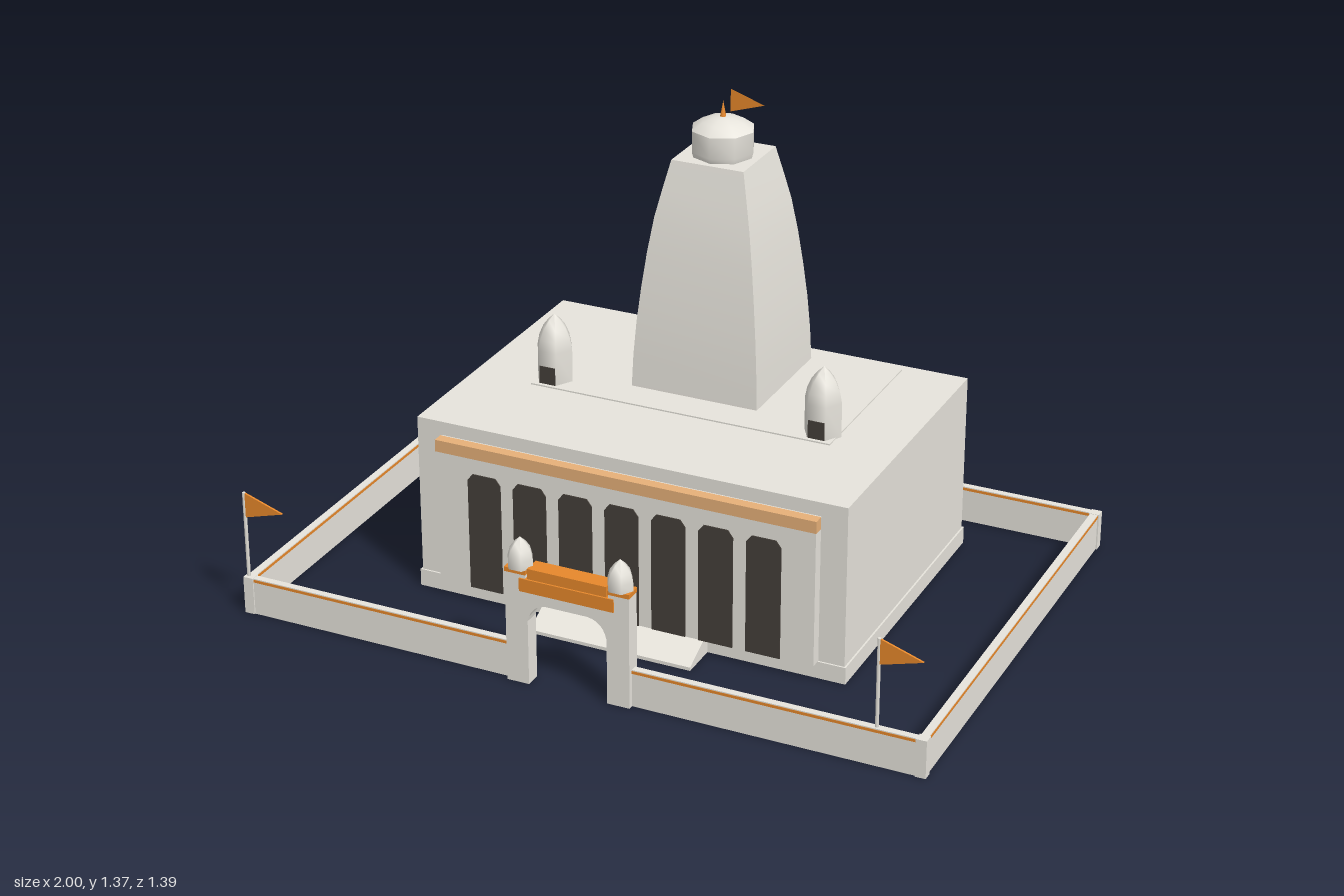
import * as THREE from 'three';
import { toCreasedNormals } from 'three/addons/utils/BufferGeometryUtils.js';

const mat = (name, color, side = THREE.FrontSide) => {
  const m = new THREE.MeshStandardMaterial({ color, side });
  m.name = name;
  return m;
};

export function createModel() {
  const root = new THREE.Group();
  root.name = 'temple';
  const marble = mat('marble', 0xe9e6de);
  const saffron = mat('saffron', 0xea8a2c, THREE.DoubleSide);
  const paleSaffron = mat('paleSaffron', 0xe9b27a);
  const dark = mat('darkOpening', 0x453f39);

  const add = (name, geo, material, x = 0, y = 0, z = 0) => {
    const m = new THREE.Mesh(geo, material);
    m.name = name;
    m.position.set(x, y, z);
    root.add(m);
    return m;
  };
  // Box given by its limits on each axis
  const box = (name, material, x0, x1, y0, y1, z0, z1) =>
    add(name, new THREE.BoxGeometry(x1 - x0, y1 - y0, z1 - z0), material,
      (x0 + x1) / 2, (y0 + y1) / 2, (z0 + z1) / 2);
  const lathe = (pts, sides, phi, crease) => toCreasedNormals(
    new THREE.LatheGeometry(pts.map(([r, y]) => new THREE.Vector2(r, y)), sides, phi), crease);
  const polygon = (pts) => new THREE.Shape(pts.map(([x, y]) => new THREE.Vector2(x, y)));

  // Hall, plinth, roof plate and facade
  box('plinth', marble, -0.64, 0.64, 0, 0.05, -0.55, 0.33);
  box('hall', marble, -0.635, 0.635, 0.05, 0.52, -0.545, 0.325);
  box('roofPlate', marble, -0.45, 0.45, 0.52, 0.524, -0.515, 0.01);
  box('facade', marble, -0.56, 0.56, 0.05, 0.48, 0.325, 0.358);
  box('facadeBand', paleSaffron, -0.562, 0.562, 0.446, 0.481, 0.33, 0.361);

  // Row of seven openings with clipped tops
  const opening = new THREE.ExtrudeGeometry(polygon([
    [-0.05, 0], [0.05, 0], [0.05, 0.33], [0.035, 0.35], [-0.035, 0.35], [-0.05, 0.33],
  ]), { depth: 0.004, bevelEnabled: false });
  for (let i = -3; i <= 3; i++) add('facadeOpening', opening, dark, i * 0.138, 0.05, 0.357);

  // Entrance ramp
  const ramp = new THREE.ExtrudeGeometry(
    polygon([[0.33, 0], [0.44, 0], [0.44, 0.01], [0.358, 0.048], [0.33, 0.048]]),
    { depth: 0.48, bevelEnabled: false });
  ramp.rotateY(-Math.PI / 2);
  add('ramp', ramp, marble, 0.24);

  // Curved square tower
  const S = Math.SQRT2;
  const tower = [[0.19, 0.52], [0.186, 0.62], [0.179, 0.72], [0.169, 0.82], [0.157, 0.92],
    [0.142, 1.02], [0.125, 1.1], [0.107, 1.18], [0, 1.18]].map(([r, y]) => [r * S, y]);
  add('tower', lathe(tower, 4, Math.PI / 4, 0.5), marble, 0, 0, -0.285);
  add('towerCrown', lathe([[0.086, 1.18], [0.09, 1.195], [0.09, 1.255], [0.06, 1.276],
    [0.03, 1.286], [0, 1.29]], 8, 0, 0.9), marble, 0, 0, -0.28);
  add('finial', new THREE.ConeGeometry(0.01, 0.05, 8), saffron, 0, 1.308, -0.28);

  // Roof kiosks with dark doorways front and back
  const kiosk = lathe([[0.054, 0], [0.054, 0.1], [0.048, 0.13], [0.035, 0.16], [0.018, 0.183],
    [0, 0.2]], 6, Math.PI / 2, 1.1);
  for (const s of [-1, 1]) {
    add('kiosk', kiosk, marble, s * 0.405, 0.52, -0.05);
    for (const f of [-1, 1])
      add('kioskDoor', new THREE.BoxGeometry(0.048, 0.052, 0.006), dark,
        s * 0.405, 0.55, -0.05 + f * 0.046);
  }

  // Boundary wall: body, coloured band and coping
  const wall = (x0, x1, z0, z1) => {
    box('boundaryWall', marble, x0, x1, 0, 0.098, z0, z1);
    box('wallBand', saffron, x0 - 0.001, x1 + 0.001, 0.098, 0.106, z0 - 0.001, z1 + 0.001);
    box('wallCoping', marble, x0, x1, 0.106, 0.109, z0, z1);
  };
  wall(-0.975, 0.975, -0.698, -0.678);
  for (const s of [-1, 1]) {
    wall(Math.min(s * 0.975, s * 0.18), Math.max(s * 0.975, s * 0.18), 0.648, 0.668);
    wall(s * 0.985 - 0.011, s * 0.985 + 0.011, -0.68, 0.65);
    for (const z of [-0.686, 0.658])
      box('cornerPost', marble, s * 0.985 - 0.015, s * 0.985 + 0.015, 0, 0.11, z - 0.014, z + 0.014);
  }

  // Arched gate with raised side pillars
  const gate = polygon([[0.115, 0], [0.18, 0], [0.18, 0.325], [0.12, 0.325], [0.12, 0.28],
    [-0.12, 0.28], [-0.12, 0.325], [-0.18, 0.325], [-0.18, 0], [-0.115, 0], [-0.115, 0.19]]);
  gate.quadraticCurveTo(-0.105, 0.24, -0.06, 0.245);
  gate.lineTo(0.06, 0.245);
  gate.quadraticCurveTo(0.105, 0.24, 0.115, 0.19);
  add('gate', new THREE.ExtrudeGeometry(gate, { depth: 0.046, bevelEnabled: false, curveSegments: 6 }),
    marble, 0, 0, 0.637);
  box('gateLowerBeam', saffron, -0.137, 0.137, 0.277, 0.315, 0.634, 0.687);
  box('gateUpperBeam', saffron, -0.115, 0.115, 0.315, 0.345, 0.632, 0.682);
  const dome = lathe([[0, 0], [0.037, 0], [0.037, 0.025], [0.03, 0.05], [0.016, 0.07], [0, 0.085]],
    6, Math.PI / 2, 1.1);
  for (const s of [-1, 1]) {
    box('pillarCollar', saffron, s * 0.15 - 0.031, s * 0.15 + 0.031, 0.325, 0.338, 0.636, 0.684);
    add('gateDome', dome, marble, s * 0.145, 0.338, 0.66);
  }

  // Pennants
  const pennant = new THREE.ExtrudeGeometry(polygon([[0, 0], [0.12, 0.035], [0, 0.075]]),
    { depth: 0.006, bevelEnabled: false });
  for (const x of [-0.99, 0.86]) {
    add('flagPole', new THREE.CylinderGeometry(0.005, 0.005, 0.26, 6), marble, x, 0.235, 0.658);
    add('pennant', pennant, saffron, x, 0.29, 0.655);
  }
  add('towerPennant', new THREE.ShapeGeometry(polygon([[0, 0], [0.1, 0.032], [0, 0.065]])),
    saffron, 0.022, 1.305, -0.28);

  return root;
}
